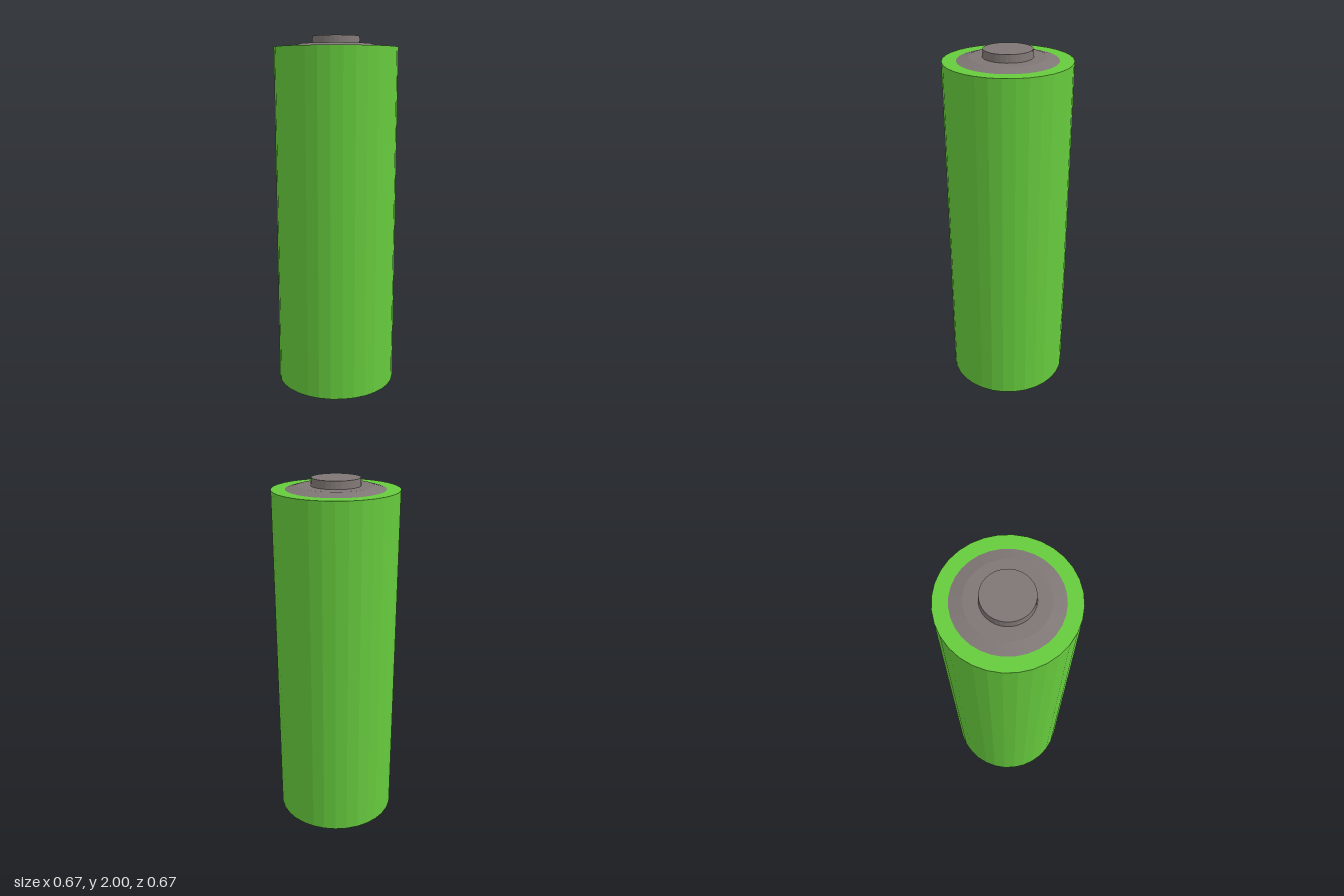
import * as THREE from 'three';

const SIDES = 32;

// Revolves a bottom-to-top list of [radius, height] pairs into a faceted part
function turned(name, profile, material) {
  const points = profile.map(([r, y]) => new THREE.Vector2(r, y));
  const mesh = new THREE.Mesh(new THREE.LatheGeometry(points, SIDES), material);
  mesh.name = name;
  return mesh;
}

export function createModel() {
  const green = new THREE.MeshStandardMaterial({ color: 0x66cb3d, flatShading: true });
  const metal = new THREE.MeshStandardMaterial({ color: 0x7f7775, flatShading: true });

  const battery = new THREE.Group();
  battery.name = 'battery';
  battery.add(
    // Wrapper: bevelled lower rim, straight wall, flat upper rim
    turned('wrapper', [[0.297, 0.016], [0.337, 0.033], [0.337, 1.942], [0.263, 1.942]], green),
    // Bottom contact: flat disc with a bevelled edge
    turned('negativeContact', [[0, 0], [0.253, 0], [0.297, 0.016]], metal),
    // Top plate: shallow cone rising to a flat shoulder
    turned('topPlate', [[0.263, 1.942], [0.2, 1.959], [0.131, 1.959]], metal),
    // Raised button, tapering very slightly
    turned('positiveButton', [[0.131, 1.959], [0.128, 2], [0, 2]], metal)
  );
  return battery;
}
